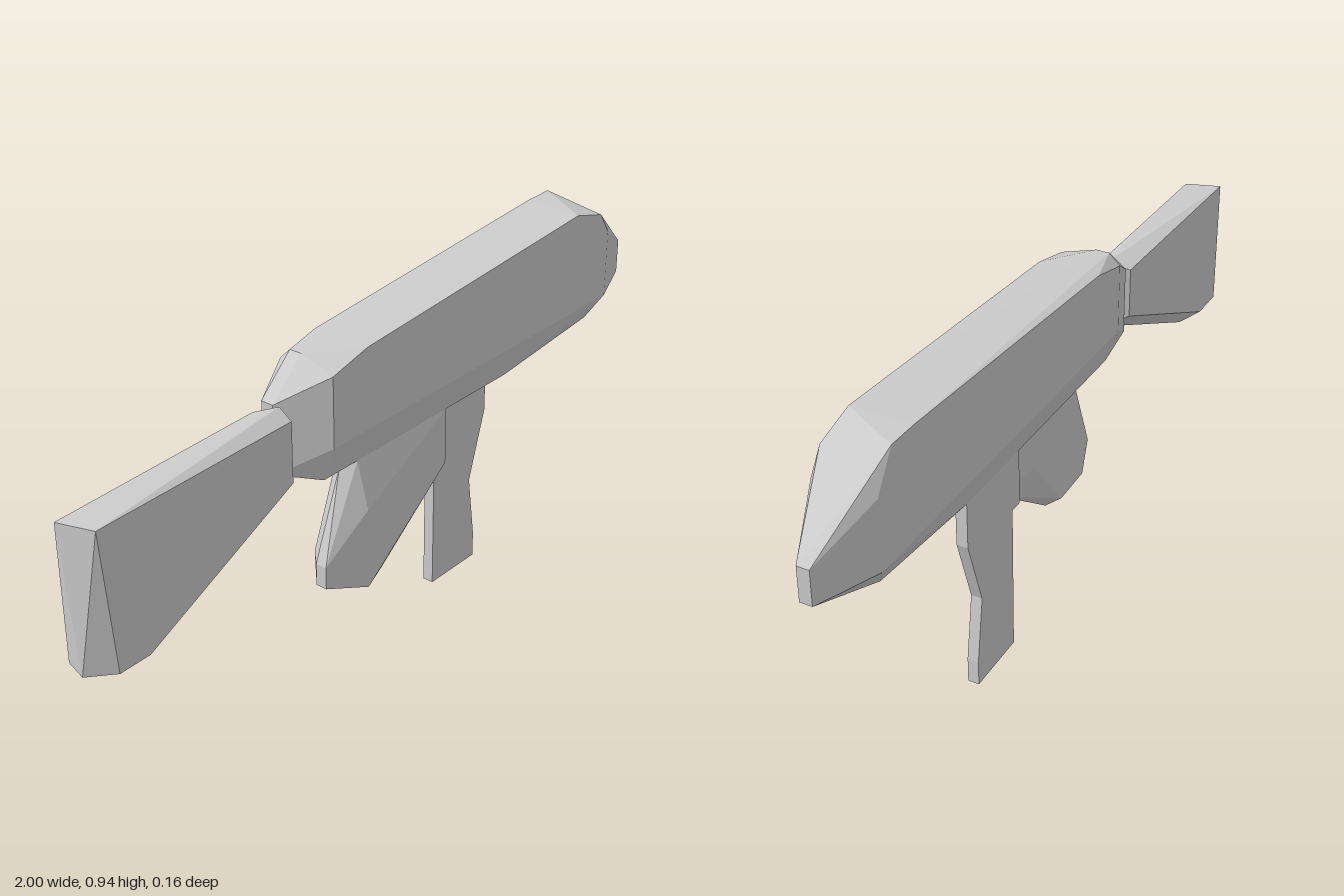
import * as THREE from 'three';
import { ConvexGeometry } from 'three/addons/geometries/ConvexGeometry.js';

const material = new THREE.MeshStandardMaterial({ color: 0xcccccc, flatShading: true });

// Faceted solid spanned by its corner points
function facetedPart(name, corners) {
  const mesh = new THREE.Mesh(new ConvexGeometry(corners.map((c) => new THREE.Vector3(...c))), material);
  mesh.name = name;
  return mesh;
}

// Give a side outline of [x, y] points the depths listed
const atDepths = (outline, ...depths) => depths.flatMap((z) => outline.map(([x, y]) => [x, y, z]));

export function createModel() {
  const group = new THREE.Group();
  group.name = 'toyGun';

  // Long body: chamfered belly, tapered nose, narrow offset rear end
  group.add(facetedPart('body', [
    ...atDepths([[1, 0.66], [1, 0.752]], 0.016, -0.016),
    ...atDepths([[-0.28, 0.66], [0.84, 0.66], [0.84, 0.845], [-0.28, 0.845], [-0.16, 0.874]], 0.08, -0.08),
    ...atDepths([[-0.28, 0.565], [0.43, 0.565], [0.8, 0.598]], 0.047, -0.047),
    ...atDepths([[0.69, 0.935], [0.8, 0.905]], 0.08),
    ...atDepths([[0.69, 0.938], [0.78, 0.94]], -0.08),
    ...atDepths([[-0.28, 0.874]], -0.05, -0.015),
    ...atDepths([[-0.38, 0.6], [-0.38, 0.782]], -0.05, -0.015),
  ]));

  // Shoulder stock: front and back outlines differ slightly, chamfered at the joint
  group.add(facetedPart('stock', [
    ...atDepths([[-0.97, 0.752], [-0.38, 0.76], [-0.38, 0.6], [-0.52, 0.535], [-0.85, 0.38], [-0.94, 0.38]], 0.042),
    ...atDepths([[-0.38, 0.785], [-0.38, 0.6]], 0.005),
    ...atDepths([[-0.85, 0.38], [-1, 0.38]], -0.01),
    ...atDepths([[-1, 0.752], [-0.41, 0.765], [-0.41, 0.63], [-0.9, 0.4], [-1, 0.4]], -0.05),
  ]));

  // Slanted magazine, bulging towards +z
  group.add(facetedPart('magazine', [
    ...atDepths([[0.185, 0.565], [0.185, 0.41], [-0.07, 0.22]], 0.047, 0.016),
    ...atDepths([[-0.16, 0.22], [-0.16, 0.44]], 0.08),
    ...atDepths([[-0.28, 0.26], [-0.28, 0.32], [-0.19, 0.22]], 0.047, 0.016),
    ...atDepths([[-0.16, 0.565]], 0.047),
    ...atDepths([[-0.19, 0.55], [-0.17, 0.565]], 0.016),
    ...atDepths([[-0.16, 0.565], [0.05, 0.565], [0.05, 0.42], [-0.1, 0.235], [-0.22, 0.24], [-0.25, 0.33]], -0.015),
  ]));

  // Flat pistol grip
  const outline = [[0.185, 0.57], [0.185, 0.41], [0.22, 0.41], [0.22, 0], [0.4, 0], [0.4, 0.07],
    [0.375, 0.25], [0.435, 0.44], [0.435, 0.57]];
  const shape = new THREE.Shape(outline.map(([x, y]) => new THREE.Vector2(x, y)));
  const grip = new THREE.Mesh(new THREE.ExtrudeGeometry(shape, { depth: 0.03, bevelEnabled: false }), material);
  grip.name = 'grip';
  grip.position.z = -0.046;
  group.add(grip);

  return group;
}
